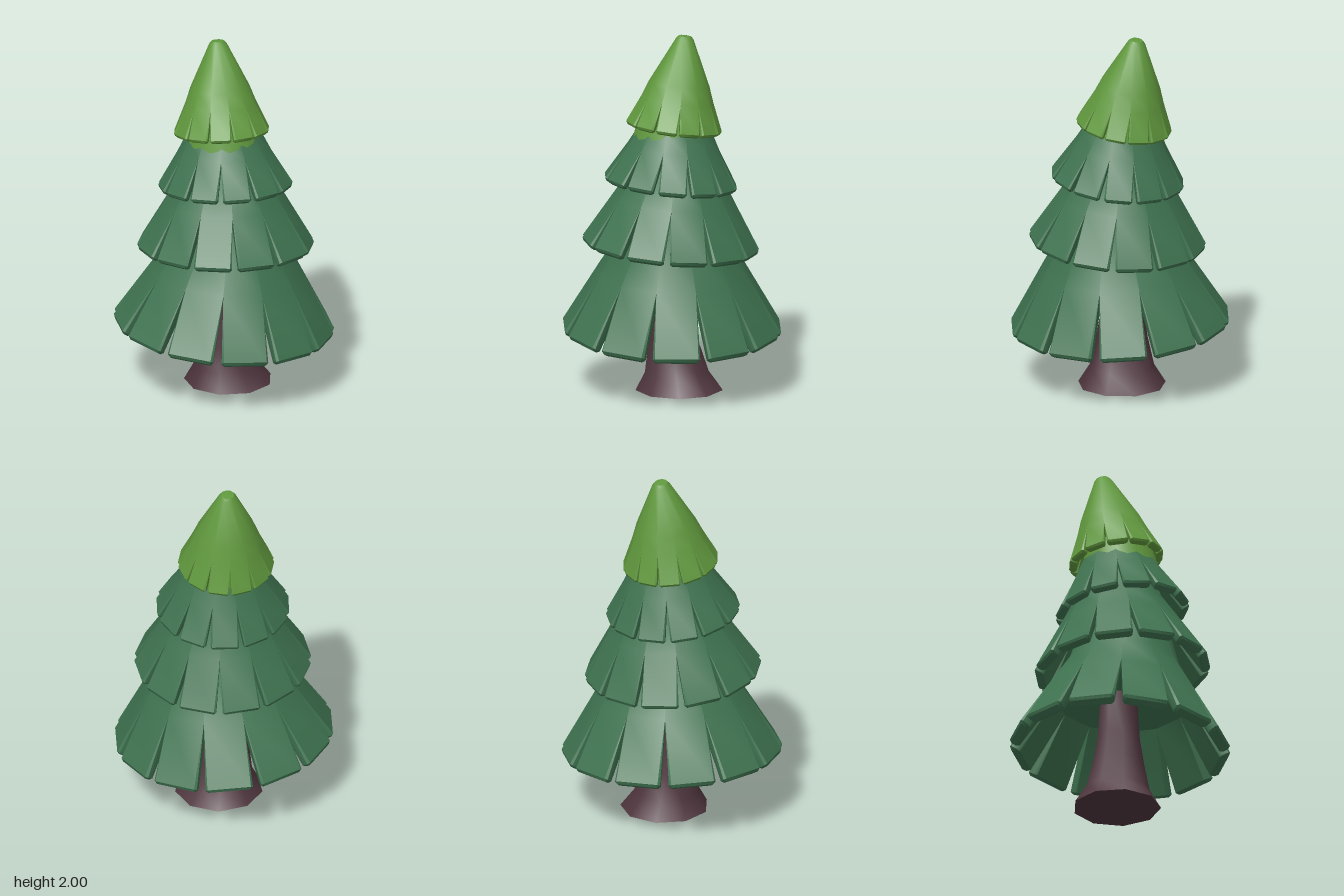
import * as THREE from 'three';
import { toCreasedNormals } from 'three/addons/utils/BufferGeometryUtils.js';

const SIDES = 12;
const HALF = Math.PI / SIDES;

// One skirt of branches: a twelve-sided cone whose lower part is split into thick bevelled flaps.
// profile runs upward as [distance from axis, height]; its second point is where the notches end.
function skirtGeometry({ profile, thickness: t, bevel: b, flapWidth, turn }) {
  const [[d0, y0], [d1, y1]] = profile;
  const len = Math.hypot(d1 - d0, y1 - y0);
  const along = [(d1 - d0) / len, (y1 - y0) / len];
  const inward = [-along[1], along[0]];
  const tan = Math.tan(HALF);

  // Octagonal cross-section of a flap at distance s up its slope
  const section = (s, w, c, n0, n1) => {
    const d = d0 + along[0] * s, y = y0 + along[1] * s;
    return [[-w + c, n0], [w - c, n0], [w, n0 + c], [w, n1 - c],
      [w - c, n1], [-w + c, n1], [-w, n1 - c], [-w, n0 + c]].map(([k, n]) => {
      const pd = d + inward[0] * n;
      return [pd, y + inward[1] * n, k * (pd / d)];
    });
  };
  const w0 = d0 * tan * flapWidth;
  const rows = [
    section(0, w0 - b, b * 0.5, b, t - b),
    section(b, w0, b, 0, t),
    section(len, d1 * tan, 0, 0, t),
  ];

  const positions = [];
  for (let k = 0; k < SIDES; k++) {
    const a = k * 2 * HALF + turn, c = Math.cos(a), s = Math.sin(a);
    const tri = (...pts) => pts.forEach(([x, y, z]) => positions.push(x * c - z * s, y, x * s + z * c));
    const quad = (l0, l1, u0, u1) => { tri(l0, u0, u1); tri(l0, u1, l1); };
    // Flap sides and end
    for (let r = 0; r < 2; r++) {
      for (let i = 0; i < 8; i++) {
        const j = (i + 1) % 8;
        quad(rows[r][i], rows[r][j], rows[r + 1][i], rows[r + 1][j]);
      }
    }
    for (let i = 1; i < 7; i++) tri(rows[0][0], rows[0][i], rows[0][i + 1]);
    // Unsplit upper cone
    for (let r = 1; r < profile.length - 1; r++) {
      const [da, ya] = profile[r], [db, yb] = profile[r + 1];
      quad([da, ya, -da * tan], [da, ya, da * tan], [db, yb, -db * tan], [db, yb, db * tan]);
    }
  }
  const geometry = new THREE.BufferGeometry();
  geometry.setAttribute('position', new THREE.Float32BufferAttribute(positions, 3));
  return {
    geometry: toCreasedNormals(geometry, 0.7),
    innerRadius: (d1 + inward[0] * t) / Math.cos(HALF),
    innerHeight: y1 + inward[1] * t,
  };
}

export function createModel() {
  const tree = new THREE.Group();
  tree.name = 'pineTree';
  const darkGreen = new THREE.MeshStandardMaterial({ color: 0x3f7350 });
  const lightGreen = new THREE.MeshStandardMaterial({ color: 0x61993e });
  const bark = new THREE.MeshStandardMaterial({ color: 0x50363f });
  darkGreen.name = 'darkGreen';
  lightGreen.name = 'lightGreen';
  bark.name = 'bark';

  const addMesh = (parent, name, geometry, material) => {
    const mesh = new THREE.Mesh(geometry, material);
    mesh.name = name;
    parent.add(mesh);
    return mesh;
  };

  // Flared trunk, its foot pushed a little to the back
  const trunkProfile = [[0, 0], [0.245, 0], [0.18, 0.1], [0.145, 0.25], [0.12, 0.4], [0.1, 0.72]]
    .map(([x, y]) => new THREE.Vector2(x, y));
  const trunk = new THREE.LatheGeometry(trunkProfile, 9);
  const p = trunk.attributes.position;
  for (let i = 0; i < p.count; i++) {
    p.setZ(i, p.getZ(i) - 0.04 * Math.max(0, 1 - p.getY(i) / 0.3));
    p.setX(i, p.getX(i) - 0.01);
  }
  addMesh(tree, 'trunk', toCreasedNormals(trunk, 0.8), bark);

  // Tiers from bottom to top, each leaning slightly (leanX raises +x, leanZ raises +z)
  const tiers = [
    { name: 'bottomTier', x: 0, y: 0.345, leanX: -0.05, leanZ: 0.05, turn: -0.05, material: darkGreen,
      thickness: 0.065, bevel: 0.014, flapWidth: 0.83,
      profile: [[0.605, 0], [0.41, 0.33], [0.3, 0.52], [0.24, 0.74]] },
    { name: 'lowerMiddleTier', x: 0.015, y: 0.82, leanX: 0.06, leanZ: 0.05, turn: -0.22, material: darkGreen,
      thickness: 0.055, bevel: 0.012, flapWidth: 0.84,
      profile: [[0.485, 0], [0.33, 0.26], [0.25, 0.4], [0.2, 0.58]] },
    { name: 'upperMiddleTier', x: 0.015, y: 1.175, leanX: 0.1, leanZ: 0.05, turn: -0.03, material: darkGreen,
      thickness: 0.048, bevel: 0.011, flapWidth: 0.82,
      profile: [[0.37, 0], [0.25, 0.2], [0.2, 0.3]] },
    { name: 'topTier', x: -0.02, y: 1.48, leanX: 0.14, leanZ: 0.06, turn: 0.17, material: lightGreen,
      thickness: 0.042, bevel: 0.01, flapWidth: 0.88,
      profile: [[0.265, 0], [0.195, 0.16], [0.163, 0.25], [0.048, 0.5], [0.035, 0.516], [0, 0.52]] },
  ];
  for (const tier of tiers) {
    const group = new THREE.Group();
    group.name = tier.name;
    group.position.set(tier.x, tier.y, 0);
    group.rotation.set(-tier.leanZ, 0, tier.leanX);
    const skirt = skirtGeometry(tier);
    addMesh(group, 'branches', skirt.geometry, tier.material);
    // Underside closing the cone above the notches
    const underside = new THREE.CircleGeometry(skirt.innerRadius, SIDES, HALF + tier.turn);
    underside.rotateX(Math.PI / 2).translate(0, skirt.innerHeight, 0);
    addMesh(group, 'underside', underside, tier.material);
    tree.add(group);
  }

  // Light collar under the top tier
  const collar = addMesh(tree, 'collar', new THREE.CylinderGeometry(0.18, 0.212, 0.16, 24), lightGreen);
  collar.position.set(-0.005, 1.505, 0);
  collar.rotation.set(-0.02, 0, 0.08);

  return tree;
}
